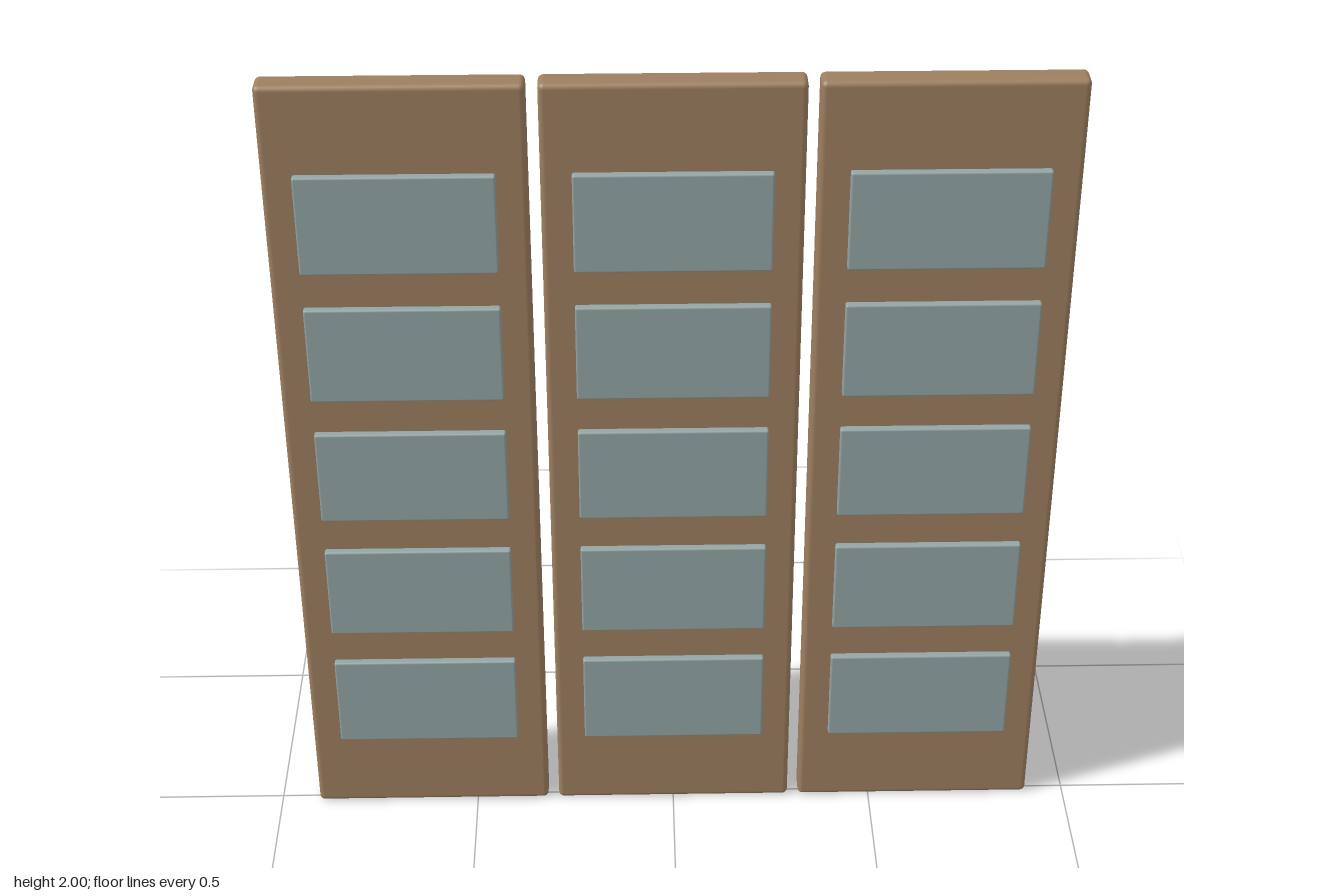
import * as THREE from 'three';
import { RoundedBoxGeometry } from 'three/addons/geometries/RoundedBoxGeometry.js';

export function createModel() {
  const model = new THREE.Group();
  model.name = 'panelScreen';

  const wood = new THREE.MeshStandardMaterial({ color: 0x9e7f5f });
  wood.name = 'wood';
  const glass = new THREE.MeshStandardMaterial({ color: 0x92a5a5 });
  glass.name = 'frostedGlass';

  const boardGeometry = new RoundedBoxGeometry(0.585, 2, 0.065, 3, 0.013);
  const paneGeometry = new RoundedBoxGeometry(0.445, 0.243, 0.021, 2, 0.005);

  // Three boards side by side, each with a column of five panes on the front
  ['right', 'middle', 'left'].forEach((side, i) => {
    const panel = new THREE.Group();
    panel.name = `${side}Panel`;
    panel.position.x = (i - 1) * 0.612;

    const board = new THREE.Mesh(boardGeometry, wood);
    board.name = 'board';
    board.position.set(0, 1, -0.0105);
    panel.add(board);

    for (let row = 0; row < 5; row++) {
      const pane = new THREE.Mesh(paneGeometry, glass);
      pane.name = `pane${row + 1}`;
      pane.position.set(0, 0.336 + row * 0.3335, 0.0325);
      panel.add(pane);
    }
    model.add(panel);
  });

  return model;
}
